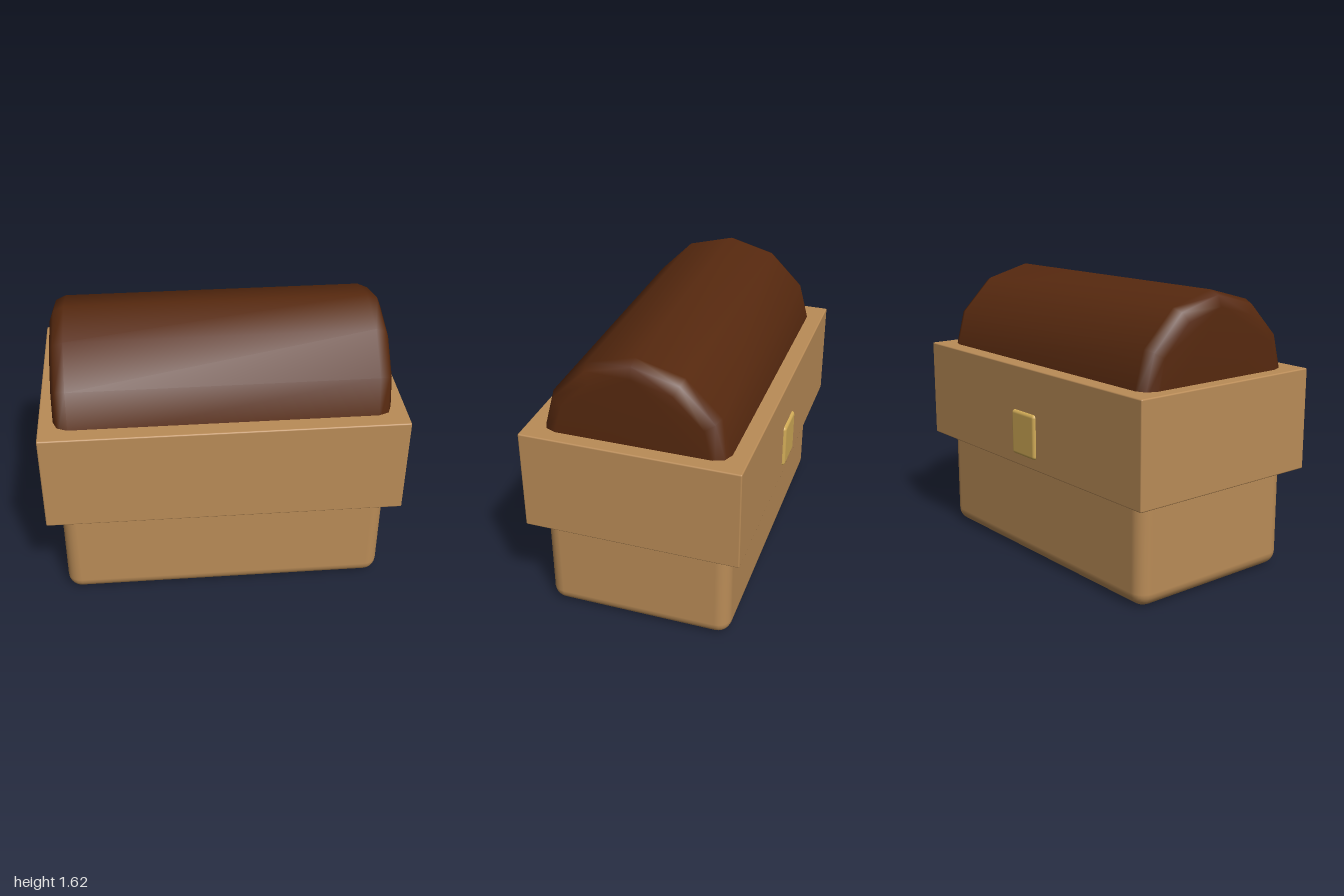
import * as THREE from 'three';
import { mergeVertices } from 'three/addons/utils/BufferGeometryUtils.js';
import { RoundedBoxGeometry } from 'three/addons/geometries/RoundedBoxGeometry.js';

const paint = (name, color) => {
  const m = new THREE.MeshStandardMaterial({ color });
  m.name = name;
  return m;
};

export function createModel() {
  const chest = new THREE.Group();
  chest.name = 'chest';
  const wood = paint('light wood', 0xba8c57);
  const darkWood = paint('dark wood', 0x57290f);
  const brass = paint('brass', 0xd2ac57);
  const midZ = 0.0075; // the latch at the back shifts the body slightly forward

  const add = (name, geometry, material, x, y, z) => {
    const mesh = new THREE.Mesh(geometry, material);
    mesh.name = name;
    mesh.position.set(x, y, z);
    chest.add(mesh);
  };

  // Lower box with rounded edges
  add('base', new RoundedBoxGeometry(1.845, 0.8, 1.058, 3, 0.08), wood, 0, 0.4, midZ);

  // Wide band around the middle
  add('band', new RoundedBoxGeometry(2, 0.577, 1.205, 2, 0.008), wood, 0, 0.8655, midZ);

  // Arched lid: half a twelve-sided profile with bevelled ends
  const radius = 0.525, bevel = 0.08, length = 1.84;
  const profile = new THREE.Shape();
  profile.moveTo(radius, -0.2);
  for (let i = 0; i <= 6; i++) {
    const a = (i * Math.PI) / 6;
    profile.lineTo(radius * Math.cos(a), radius * Math.sin(a));
  }
  profile.lineTo(-radius, -0.2);
  profile.closePath();
  let lid = new THREE.ExtrudeGeometry(profile, {
    depth: length - 2 * bevel, steps: 1, bevelEnabled: true,
    bevelThickness: bevel, bevelSize: bevel, bevelOffset: -bevel, bevelSegments: 2,
  });
  lid.deleteAttribute('uv');
  lid.deleteAttribute('normal');
  lid.translate(0, 0, bevel - length / 2);
  lid.rotateY(Math.PI / 2);
  lid = mergeVertices(lid, 1e-4);
  lid.computeVertexNormals();
  add('lid', lid, darkWood, 0, 1.095, midZ);

  // Straps whose lower edges peek out below the band
  for (const side of [-1, 1]) {
    add('strap', new RoundedBoxGeometry(0.095, 0.12, 1.1, 2, 0.012), darkWood, side * 0.583, 0.628, midZ);
  }

  // Latch plate on the back
  add('latch', new RoundedBoxGeometry(0.22, 0.26, 0.06, 2, 0.02), brass, 0, 0.77, -0.581);

  return chest;
}
